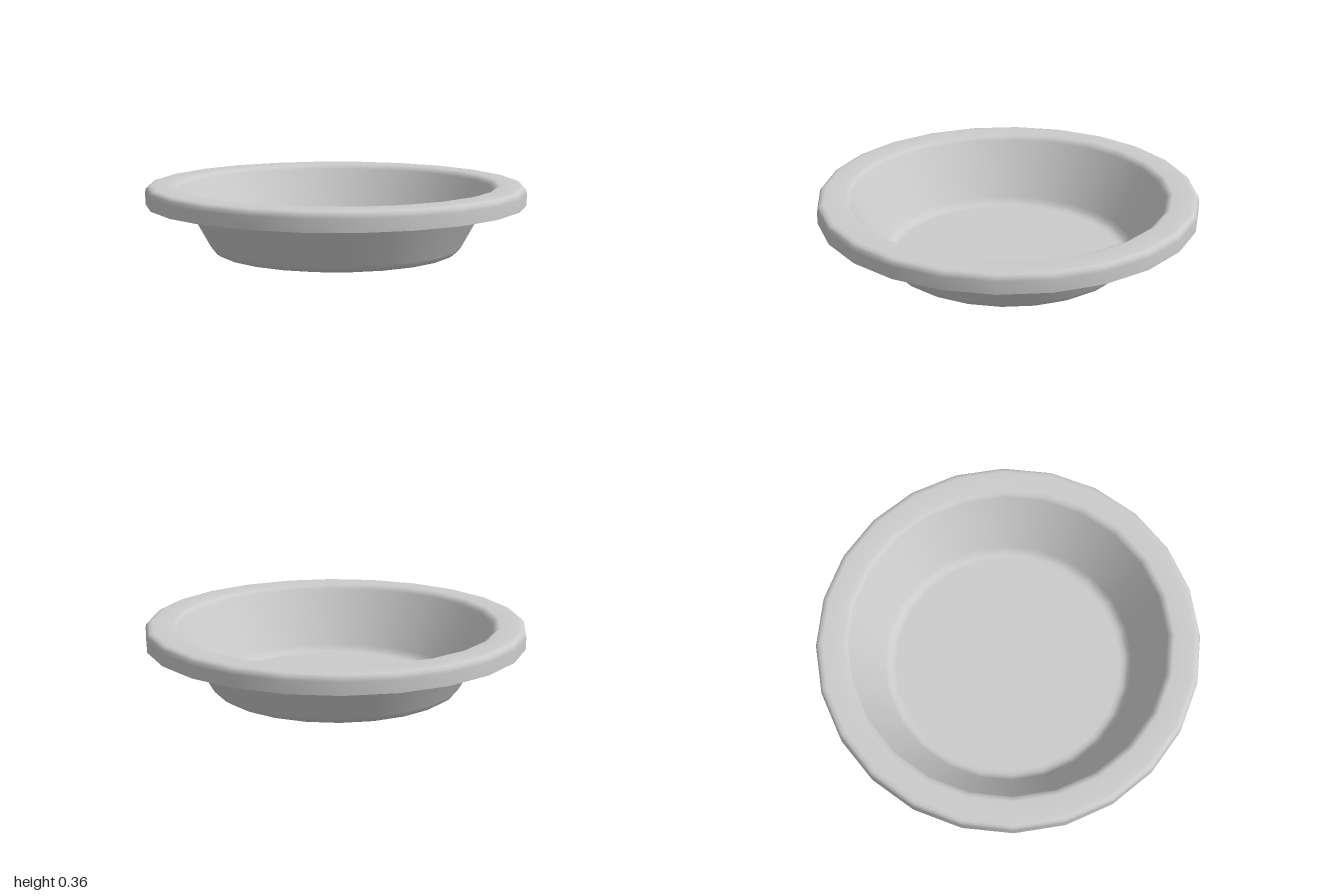
import * as THREE from 'three';

const SIDES = 24;

export function createModel() {
  const group = new THREE.Group();
  group.name = 'pieDish';
  const material = new THREE.MeshStandardMaterial({ color: 0xcccccc, side: THREE.DoubleSide });

  // Thin sheet: floor, sloped wall, flat rim and turned-down lip
  const profile = [
    [0, 0], [0.61, 0], [0.635, 0.004], [0.655, 0.017], [0.67, 0.04],
    [0.829, 0.332], [0.84, 0.349], [0.862, 0.36],
    [0.965, 0.36], [0.985, 0.355], [0.996, 0.343], [1, 0.325], [1, 0.26],
  ].map(([r, y]) => new THREE.Vector2(r, y));

  const dish = new THREE.Mesh(new THREE.LatheGeometry(profile, SIDES), material);
  dish.name = 'dish';
  group.add(dish);
  return group;
}
